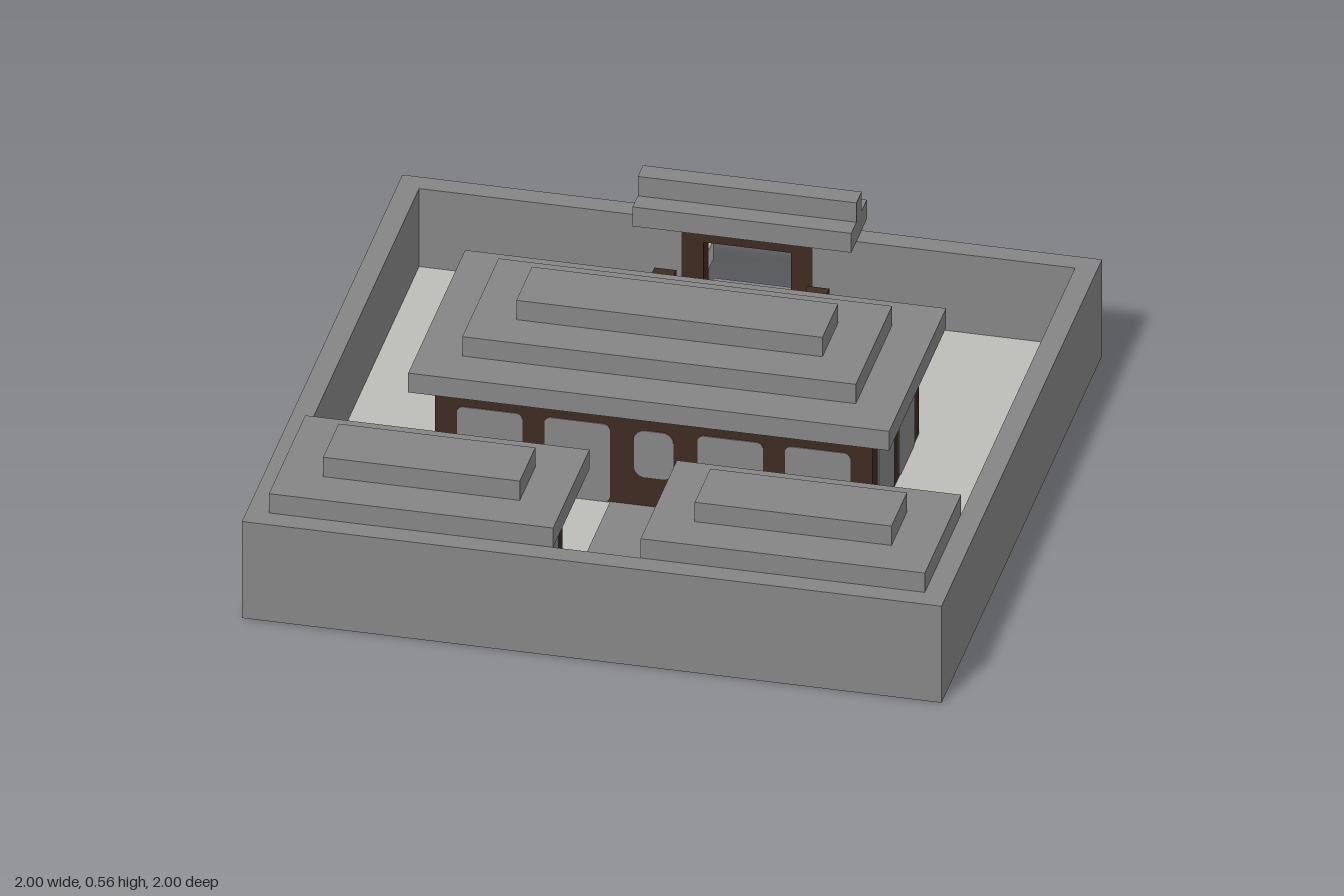
import * as THREE from 'three';

const U = 0.0625; // building module
const mat = (name, color) => Object.assign(new THREE.MeshStandardMaterial({ color }), { name });
const stone = mat('stone grey', 0x858585);
const sand = mat('pale ground', 0xbcbcb8);
const wood = mat('dark wood', 0x3f2a20);
const lamp = mat('lantern and glass', 0xb8b8b8);

// Box given by its limits, in modules
function box(parent, name, material, x0, x1, y0, y1, z0, z1) {
  const geo = new THREE.BoxGeometry((x1 - x0) * U, (y1 - y0) * U, (z1 - z0) * U);
  const mesh = new THREE.Mesh(geo, material);
  mesh.name = name;
  mesh.position.set((x0 + x1) * U / 2, (y0 + y1) * U / 2, (z0 + z1) * U / 2);
  parent.add(mesh);
  return mesh;
}

// Thin plate with rounded corners, facing +z, spanning x0..x1 and y0..y1 in modules
function panel(parent, name, material, x0, x1, y0, y1, r) {
  const s = new THREE.Shape();
  s.moveTo(x0 + r, y0);
  s.lineTo(x1 - r, y0);
  s.absarc(x1 - r, y0 + r, r, -Math.PI / 2, 0);
  s.absarc(x1 - r, y1 - r, r, 0, Math.PI / 2);
  s.absarc(x0 + r, y1 - r, r, Math.PI / 2, Math.PI);
  s.absarc(x0 + r, y0 + r, r, Math.PI, Math.PI * 1.5);
  const geo = new THREE.ExtrudeGeometry(s, { depth: 0.05, bevelEnabled: false, curveSegments: 5 });
  const mesh = new THREE.Mesh(geo.scale(U, U, U), material);
  mesh.name = name;
  parent.add(mesh);
}

// Row of panels between posts one module wide; a 'door' bay has a window in its upper half
function facade(parent, x, z, angle, bays, top) {
  const g = new THREE.Group();
  g.name = 'facade';
  g.position.set(x * U, 0, z * U);
  g.rotation.y = angle;
  const width = bays.reduce((w, b) => w + b.w + 1, 1);
  let at = -width / 2 + 1;
  for (const b of bays) {
    if (b.door) panel(g, 'doorWindow', stone, at + 0.1, at + b.w - 0.1, top - b.door, top - 0.1, 0.5);
    else panel(g, 'wallPanel', stone, at, at + b.w, 1, top, 0.3);
    at += b.w + 1;
  }
  parent.add(g);
}

// Timber body with panelled walls on all four sides
function body(parent, x0, x1, z0, z1, height, front, back, side, top) {
  box(parent, 'timberBody', wood, x0, x1, 1, height, z0, z1);
  const cx = (x0 + x1) / 2, cz = (z0 + z1) / 2;
  facade(parent, cx, z1, 0, front, top);
  facade(parent, cx, z0, Math.PI, back, top);
  facade(parent, x1, cz, Math.PI / 2, side, top);
  facade(parent, x0, cz, -Math.PI / 2, side, top);
}

export function createModel() {
  const model = new THREE.Group();
  model.name = 'walledCourtyard';

  // Ground, with paving that stands a hair proud on both faces
  const floor = new THREE.Group();
  floor.name = 'floor';
  model.add(floor);
  box(floor, 'ground', sand, -15, 15, 0.04, 0.96, -14, 15);
  box(floor, 'pathFront', stone, -2, 2, 0, 1, 4, 15);
  box(floor, 'hallPaving', stone, -10, 10, 0, 1, -5, 4);
  box(floor, 'pathBack', stone, -2, 2, 0, 1, -14, -5);
  box(floor, 'gateStep', stone, -2, 2, 0, 1, -16, -14);

  // Perimeter wall with a gap for the gate
  const wall = new THREE.Group();
  wall.name = 'perimeterWall';
  model.add(wall);
  box(wall, 'frontWall', stone, -16, 16, 0, 5, 15, 16);
  box(wall, 'rightWall', stone, -16, -15, 0, 5, -15, 15);
  box(wall, 'leftWall', stone, 15, 16, 0, 5, -15, 15);
  box(wall, 'backWallRight', stone, -15, -3, 0, 5, -15, -14);
  box(wall, 'backWallLeft', stone, 3, 15, 0, 5, -15, -14);

  // Gate
  const gate = new THREE.Group();
  gate.name = 'gate';
  model.add(gate);
  box(gate, 'gateLintel', wood, -2, 2, 4, 5, -15, -14);
  box(gate, 'gateRoof', stone, -5, 5, 5, 6, -16, -13);
  box(gate, 'gateRidge', stone, -5, 5, 6, 7, -15, -14);
  for (const s of [-1, 1]) {
    box(gate, 'gateSill', stone, s * 2.5 - 0.5, s * 2.5 + 0.5, 0, 1, -15, -14);
    box(gate, 'gatePost', wood, s * 2.5 - 0.5, s * 2.5 + 0.5, 1, 5, -15, -14);
    box(gate, 'lantern', lamp, s * 2.5 - 0.5, s * 2.5 + 0.5, 2, 3, -16, -15);
    box(gate, 'innerBollard', wood, s * 3.5 - 0.5, s * 3.5 + 0.5, 1, 3, -13, -12);
  }

  // Main hall with a three-tier roof
  const hall = new THREE.Group();
  hall.name = 'mainHall';
  model.add(hall);
  const hallBays = [{ w: 3 }, { w: 3 }, { w: 2, door: 2.5 }, { w: 3 }, { w: 3 }];
  body(hall, -10, 10, -5, 4, 6, hallBays, hallBays, [{ w: 3 }, { w: 3 }], 5);
  [[11, -6, 5], [9, -4, 3], [7, -2, 1]].forEach(([x, z0, z1], i) =>
    box(hall, 'hallRoofTier', stone, -x, x, 6 + i, 7 + i, z0, z1));

  // Two side pavilions; each door bay is next to the path
  for (const s of [-1, 1]) {
    const pav = new THREE.Group();
    pav.name = s > 0 ? 'leftPavilion' : 'rightPavilion';
    model.add(pav);
    const span = (a, b) => (s > 0 ? [a, b] : [-b, -a]);
    const inner = [{ w: 2, door: 1.9 }, { w: 3 }, { w: 2 }];
    const outer = [...inner].reverse();
    const [x0, x1] = span(3, 14);
    body(pav, x0, x1, 9, 14, 5, s > 0 ? inner : outer, s > 0 ? outer : inner, [{ w: 3 }], 4.5);
    box(pav, 'pavilionPaving', stone, x0, x1, 0, 1, 9, 14);
    const [r0, r1] = span(2, 15);
    box(pav, 'pavilionRoof', stone, r0, r1, 5, 6, 8, 15);
    const [t0, t1] = span(4, 13);
    box(pav, 'pavilionRoofTop', stone, t0, t1, 6, 7, 10, 13);
  }
  return model;
}
